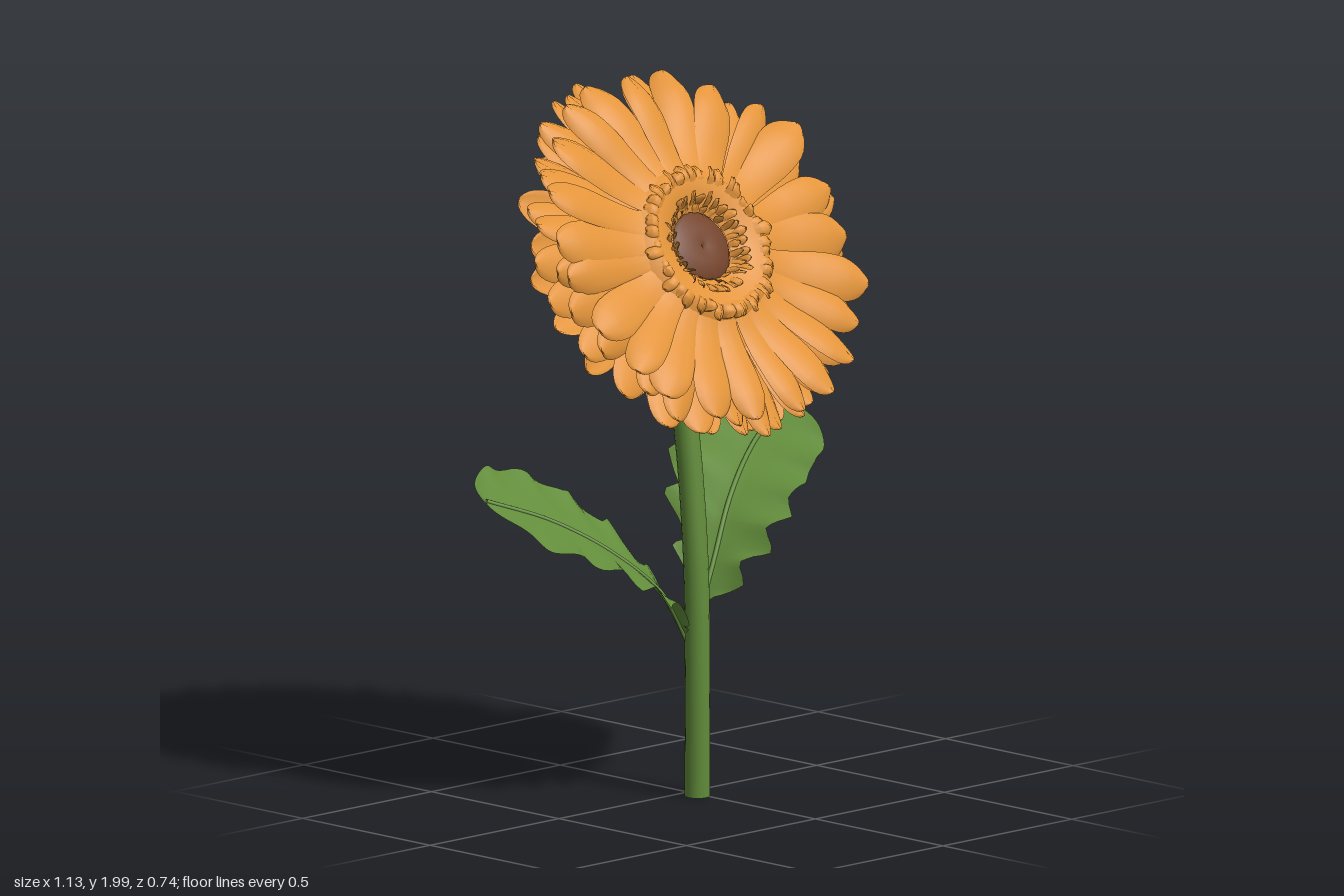
import * as THREE from 'three';
import { mergeGeometries } from 'three/addons/utils/BufferGeometryUtils.js';

const mat = (name, color) => {
  const m = new THREE.MeshStandardMaterial({ color, side: THREE.DoubleSide });
  m.name = name;
  return m;
};

// small seeded generator, returns -1..1
let seed = 7;
const jitter = () => {
  seed = (seed * 16807) % 2147483647;
  return (seed / 2147483647) * 2 - 1;
};

// linear lookup in a short list, u in 0..1
const sample = (list, u) => {
  const f = u * (list.length - 1), i = Math.min(Math.floor(f), list.length - 2);
  return THREE.MathUtils.lerp(list[i], list[i + 1], f - i);
};

// sheet of quads: point(u, s) with u in 0..1 along and s in -1..1 across
function sheet(nu, nv, point) {
  const g = new THREE.PlaneGeometry(1, 1, nv, nu);
  const p = g.attributes.position;
  for (let i = 0; i < p.count; i++) {
    const v = point(p.getY(i) + 0.5, p.getX(i) * 2);
    p.setXYZ(i, v.x, v.y, v.z);
  }
  g.computeVertexNormals();
  return g;
}

// the head nods: its top curls backward, its bottom a little forward
function nod(g) {
  const p = g.attributes.position;
  for (let i = 0; i < p.count; i++) {
    const y = p.getY(i);
    p.setZ(i, p.getZ(i) + (y > 0 ? -0.55 * y : 0.14) * y * y);
  }
  g.computeVertexNormals();
  return g;
}

// ring of round-tipped petals; heights is the rise along each petal on the head's axis
function petalRing({ n, r0, r1, base, wide, heights, cup, offset = 0, vary = 0.02, lift = 0.024 }) {
  const parts = [];
  for (let i = 0; i < n; i++) {
    const end = r1 + vary * jitter(), up = lift * jitter();
    const twist = 0.02 * jitter(), w = wide * (1 + 0.15 * jitter());
    const g = sheet(14, 6, (t, s) => {
      const u = Math.sin(t * Math.PI / 2);
      const spread = THREE.MathUtils.smoothstep(u, 0, 0.7);
      const tip = Math.max(0, (u - 0.72) / 0.28);
      const round = Math.sqrt(Math.max(0, 1 - tip * tip));
      const half = (base + (w - base) * spread) * Math.max(round, 0.02);
      return new THREE.Vector3(s * half, r0 + (end - r0) * u,
        sample(heights, u) + up * u + cup * s * s * u * round + twist * s * u * round
        + 0.003 * Math.cos(s * 9) * u);
    });
    g.rotateZ(((i + offset + 0.2 * jitter()) / n) * Math.PI * 2);
    parts.push(g);
  }
  return nod(mergeGeometries(parts));
}

// toothed leaf blade swept along a midrib, a little wider on its back half
function leafGeometry(rib, widths, across, scale) {
  const up = new THREE.Vector3().crossVectors(rib.getTangent(0.5), across).normalize();
  if (up.y < 0) up.negate();
  return sheet(72, 12, (t, s) => {
    const u = Math.sin(t * Math.PI / 2);
    const end = Math.max(0, (u - 0.84) / 0.16);
    const back = s > 0 ? 1 + 0.3 * Math.max(0, 0.8 - u) : 1;
    const half = sample(widths, u) * scale * back * Math.sqrt(Math.max(0, 1 - end * end));
    const ripple = 0.01 * s * s * Math.sin(u * 36 + s);
    return rib.getPoint(u)
      .addScaledVector(across, s * half)
      .addScaledVector(up, 0.018 * Math.abs(s) * Math.sin(Math.PI * u) + ripple)
      .addScaledVector(rib.getTangent(u), 0.03 * Math.abs(s) * Math.sin(Math.PI * u));
  });
}

export function createModel() {
  const orange = mat('petal orange', 0xe3943a);
  const brown = mat('centre brown', 0x74432a);
  const green = mat('leaf green', 0x628c3b);
  const model = new THREE.Group();
  model.name = 'flower';
  const add = (parent, name, geometry, material) => {
    const m = new THREE.Mesh(geometry, material);
    m.name = name;
    parent.add(m);
    return m;
  };
  const curve = pts => new THREE.CatmullRomCurve3(pts.map(p => new THREE.Vector3(...p)));
  const lathe = pts => nod(new THREE.LatheGeometry(pts.map(p => new THREE.Vector2(...p)), 48)
    .rotateX(Math.PI / 2));

  // stem, its foot and the flare under the head
  const stemPath = curve([[-0.018, 0, 0.055], [-0.02, 0.35, 0.058], [-0.018, 0.65, 0.05],
    [-0.014, 0.9, 0.025], [-0.015, 1.12, -0.002], [-0.018, 1.3, -0.012], [-0.02, 1.38, 0.005]]);
  add(model, 'stem', new THREE.TubeGeometry(stemPath, 40, 0.035, 16), green);
  const foot = add(model, 'stemFoot', new THREE.CircleGeometry(0.035, 16), green);
  foot.rotation.x = Math.PI / 2;
  foot.position.set(-0.018, 0.001, 0.055);
  const flare = add(model, 'stemFlare', new THREE.CylinderGeometry(0.06, 0.034, 0.12, 16), green);
  flare.position.set(-0.02, 1.345, 0.004);
  flare.rotation.x = 0.25;

  // leaves with midribs, toothed toward the stem and broad at the end
  const widths = [0.012, 0.015, 0.025, 0.07, 0.12, 0.085, 0.125, 0.185, 0.145, 0.18, 0.21, 0.18,
    0.197, 0.21, 0.2, 0.205, 0.2, 0.19, 0.18, 0.17, 0.16];
  const leaves = [
    ['leftLeaf', [[-0.01, 0.48, 0.045], [0.08, 0.64, 0.02], [0.2, 0.8, -0.035],
      [0.37, 0.92, -0.11], [0.555, 1.0, -0.165]], [-0.2, 0.32, -0.92], 0.98],
    ['rightLeaf', [[-0.03, 0.41, 0.045], [-0.1, 0.57, 0.005], [-0.22, 0.695, -0.07],
      [-0.37, 0.795, -0.16], [-0.545, 0.865, -0.24]], [0.22, 0.43, -0.88], 1.04],
  ];
  for (const [name, pts, across, scale] of leaves) {
    const rib = curve(pts);
    const leaf = new THREE.Group();
    leaf.name = name;
    const side = new THREE.Vector3(...across).normalize();
    add(leaf, 'blade', leafGeometry(rib, widths, side, scale), green);
    add(leaf, 'midrib', new THREE.TubeGeometry(rib, 24, 0.007, 8), green);
    model.add(leaf);
  }

  // flower head, tilted upward
  const head = new THREE.Group();
  head.name = 'flowerHead';
  head.position.set(-0.015, 1.518, 0.008);
  head.rotation.x = -0.5;
  model.add(head);

  add(head, 'headBase', lathe([[0.1, 0.05], [0.18, 0.06], [0.28, 0.065], [0.36, 0.03],
    [0.36, -0.02], [0.28, -0.06], [0.2, -0.075], [0.08, -0.085]]), orange);
  add(head, 'frontPetals', petalRing({ n: 23, r0: 0.17, r1: 0.54, base: 0.034, wide: 0.06,
    heights: [0.1, 0.085, 0.085, 0.095, 0.1, 0.09], cup: -0.02 }), orange);
  add(head, 'middlePetals', petalRing({ n: 23, r0: 0.16, r1: 0.545, base: 0.032, wide: 0.058,
    heights: [0.05, 0.05, 0.05, 0.045, 0.035], cup: -0.02, offset: 0.5 }), orange);
  add(head, 'lowerPetals', petalRing({ n: 23, r0: 0.14, r1: 0.535, base: 0.03, wide: 0.058,
    heights: [-0.02, -0.02, -0.015, -0.015, -0.02], cup: -0.015, offset: 0.2 }), orange);
  add(head, 'backPetals', petalRing({ n: 23, r0: 0.08, r1: 0.51, base: 0.02, wide: 0.062,
    heights: [-0.088, -0.083, -0.076, -0.07, -0.068], cup: 0.012, offset: 0.7,
    lift: 0.012 }), orange);

  // ruffled crater around the centre
  add(head, 'collar', lathe([[0.1, 0.07], [0.12, 0.084], [0.15, 0.097], [0.185, 0.108],
    [0.205, 0.106], [0.235, 0.08]]), orange);
  add(head, 'outerRuffle', petalRing({ n: 40, r0: 0.175, r1: 0.225, base: 0.013, wide: 0.019,
    heights: [0.104, 0.115, 0.114, 0.098], cup: -0.012, vary: 0.016, lift: 0.014 }), orange);
  add(head, 'innerRuffle', petalRing({ n: 30, r0: 0.115, r1: 0.146, base: 0.008, wide: 0.013,
    heights: [0.08, 0.098, 0.11, 0.113], cup: -0.01, vary: 0.012, lift: 0.012 }), orange);
  add(head, 'innerFlorets', petalRing({ n: 24, r0: 0.098, r1: 0.116, base: 0.007, wide: 0.011,
    heights: [0.07, 0.088, 0.1], cup: -0.008, vary: 0.01, lift: 0.012, offset: 0.5 }), orange);

  // brown heart, seen at the front and the back, with a small dimple
  add(head, 'centre', lathe([[0, 0.07], [0.012, 0.083], [0.05, 0.083], [0.09, 0.077],
    [0.106, 0.06]]), brown);
  const backCentre = add(head, 'backCentre', lathe([[0.106, -0.075], [0.1, -0.093],
    [0.05, -0.097], [0, -0.098]]), brown);
  backCentre.position.y = 0.03;
  return model;
}
